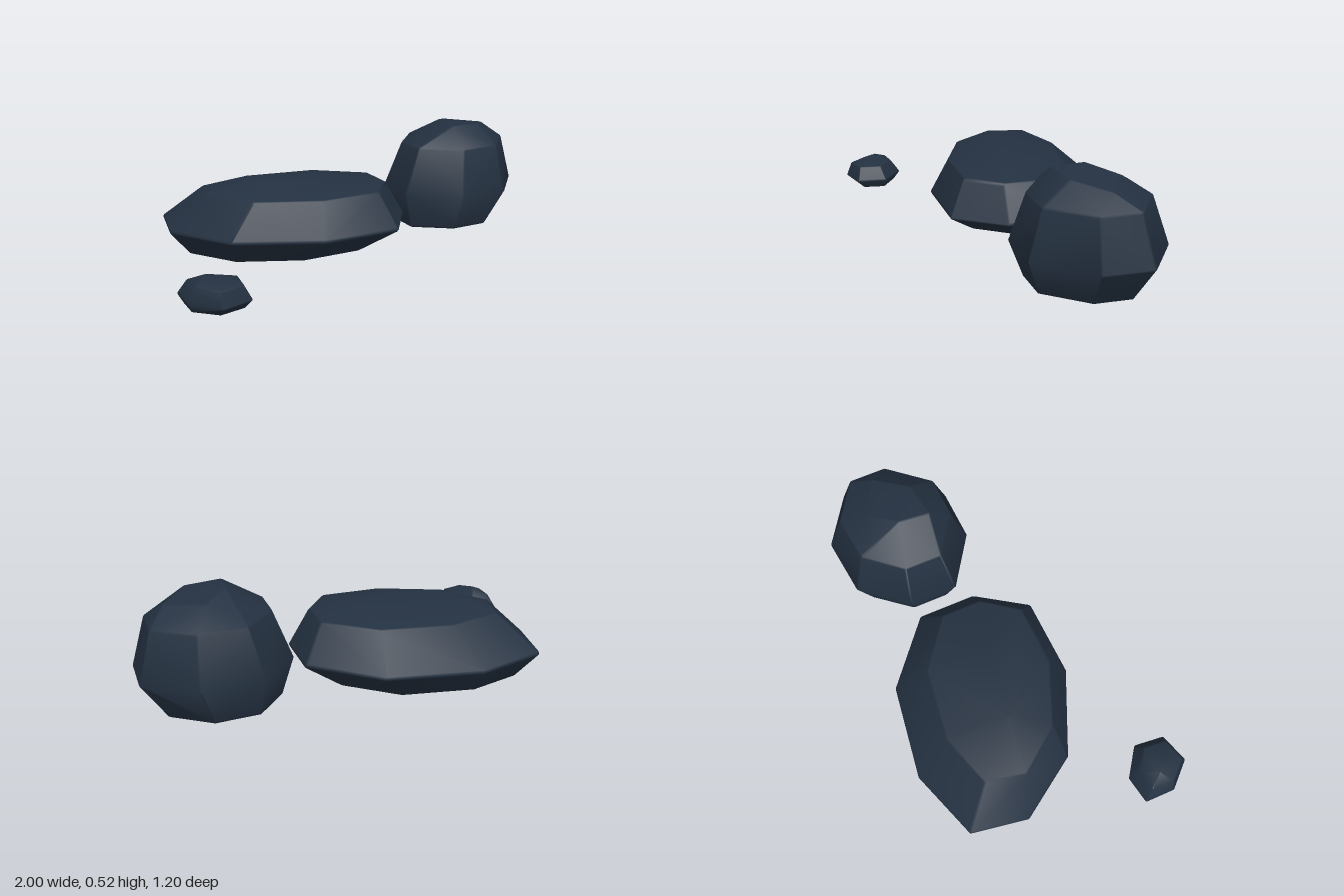
import * as THREE from 'three';
import { ConvexGeometry } from 'three/addons/geometries/ConvexGeometry.js';
import { mergeVertices } from 'three/addons/utils/BufferGeometryUtils.js';

const { mapLinear } = THREE.MathUtils;

// Faceted stone: hull of its corner points with softly rounded edges
function stoneGeometry(points, bevel) {
  const box = new THREE.Box3().setFromPoints(points);
  const centre = box.getCenter(new THREE.Vector3());
  const size = box.getSize(new THREE.Vector3());
  const shrink = new THREE.Vector3(1 - 2 * bevel / size.x, 1 - 2 * bevel / size.y, 1 - 2 * bevel / size.z);

  const ball = new THREE.OctahedronGeometry(bevel, 1);
  ball.deleteAttribute('uv');
  ball.deleteAttribute('normal');
  const offsets = mergeVertices(ball).getAttribute('position');
  const cloud = [];
  for (const p of points) {
    const inner = p.clone().sub(centre).multiply(shrink).add(centre);
    for (let i = 0; i < offsets.count; i++) {
      cloud.push(new THREE.Vector3().fromBufferAttribute(offsets, i).add(inner));
    }
  }

  // Area-weighted normals keep the big facets flat and the bevels smooth
  const hull = new ConvexGeometry(cloud);
  hull.deleteAttribute('normal');
  const geometry = mergeVertices(hull, 1e-5);
  geometry.computeVertexNormals();
  return geometry;
}

// The outline [x, z] is the widest ring; foot and shoulder repeat it
// inside an extent [x0, x1, z0, z1]; peaks are the topmost corners
function makeStone(name, material, { outline, height, foot, shoulder, shoulderHeight, peaks, bevel }) {
  const girdle = outline.map(([x, z]) => new THREE.Vector3(x, height, z));
  const { min, max } = new THREE.Box3().setFromPoints(girdle);
  const ring = ([x0, x1, z0, z1], y) => girdle.map((p) => new THREE.Vector3(
    mapLinear(p.x, min.x, max.x, x0, x1), y, mapLinear(p.z, min.z, max.z, z0, z1)
  ));
  const points = [
    ...ring(foot, 0), ...girdle, ...ring(shoulder, shoulderHeight),
    ...peaks.map((p) => new THREE.Vector3(...p))
  ];
  const mesh = new THREE.Mesh(stoneGeometry(points, bevel), material);
  mesh.name = name;
  return mesh;
}

export function createModel() {
  const slate = new THREE.MeshStandardMaterial({ color: 0x243141 });
  slate.name = 'darkSlate';

  // Low, broad stone
  const flatStone = makeStone('flatStone', slate, {
    outline: [
      [-0.82, -0.48], [-0.49, -0.6], [-0.04, -0.54], [0.255, -0.29], [0.255, -0.01],
      [0.1, 0.23], [-0.28, 0.25], [-0.67, 0.08], [-0.865, -0.21]
    ],
    height: 0.12,
    foot: [-0.77, 0.08, -0.51, 0.11],
    shoulder: [-0.7, 0.16, -0.42, 0.17],
    shoulderHeight: 0.288,
    peaks: [[-0.44, 0.36, -0.12], [-0.1, 0.342, -0.1]],
    bevel: 0.014
  });

  // Tall, blocky stone
  const tallStone = makeStone('tallStone', slate, {
    outline: [
      [0.31, -0.31], [0.49, -0.53], [0.77, -0.565], [1, -0.41],
      [1, -0.18], [0.8, 0.065], [0.55, 0.08], [0.31, -0.08]
    ],
    height: 0.18,
    foot: [0.36, 0.88, -0.49, 0.01],
    shoulder: [0.4, 0.94, -0.485, 0.015],
    shoulderHeight: 0.41,
    peaks: [
      [0.59, 0.52, -0.24], [0.58, 0.51, -0.09], [0.75, 0.505, -0.12],
      [0.7, 0.49, -0.36], [0.87, 0.475, -0.27]
    ],
    bevel: 0.014
  });

  // Small pebble
  const pebble = makeStone('pebble', slate, {
    outline: [
      [-1, 0.34], [-0.87, 0.315], [-0.735, 0.41],
      [-0.75, 0.555], [-0.89, 0.6], [-1, 0.485]
    ],
    height: 0.04,
    foot: [-0.98, -0.755, 0.345, 0.555],
    shoulder: [-0.97, -0.77, 0.36, 0.575],
    shoulderHeight: 0.108,
    peaks: [[-0.91, 0.143, 0.44], [-0.84, 0.132, 0.5]],
    bevel: 0.009
  });

  const group = new THREE.Group();
  group.name = 'stoneCluster';
  group.add(flatStone, tallStone, pebble);
  return group;
}
